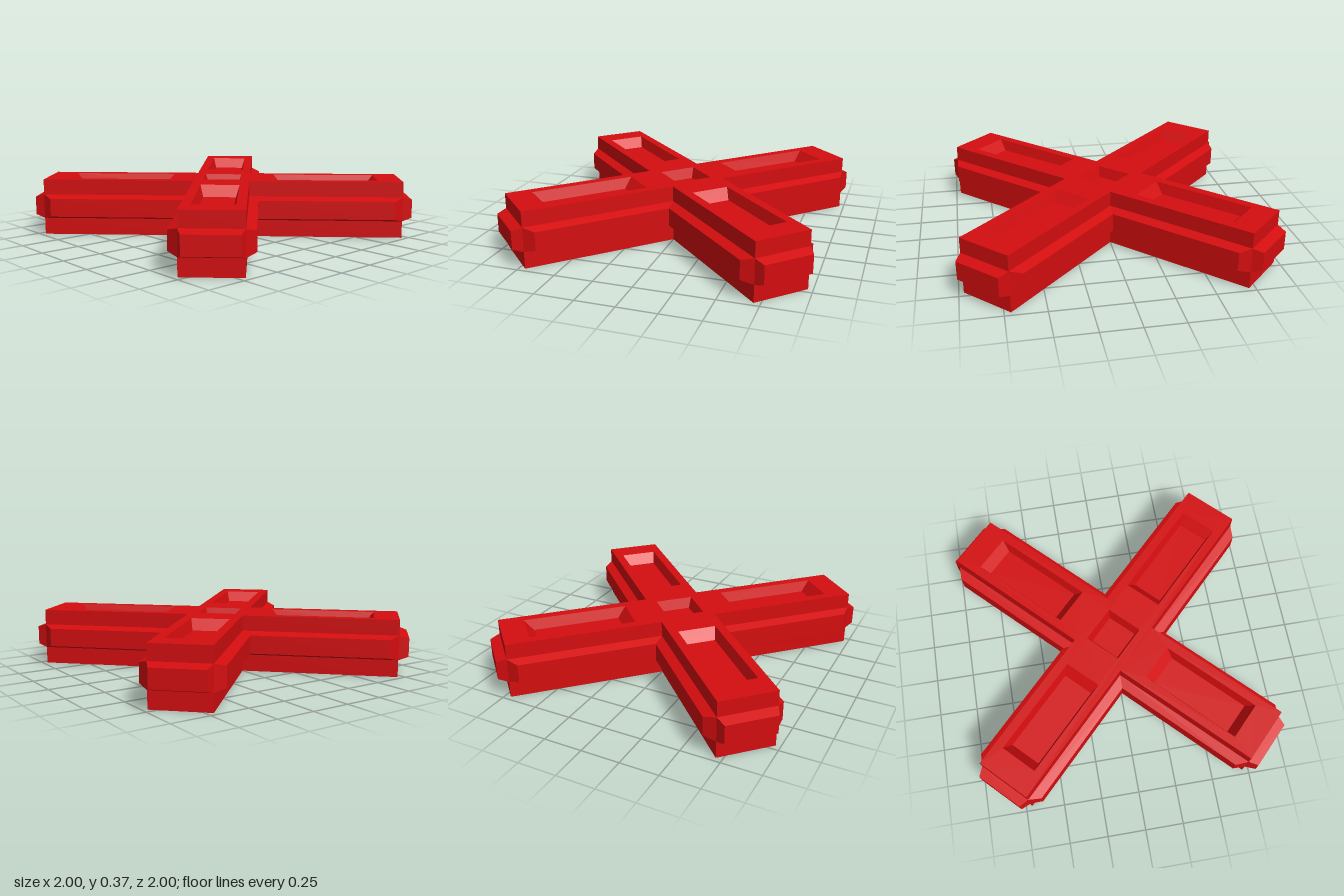
import * as THREE from 'three';
import { mergeGeometries } from 'three/addons/utils/BufferGeometryUtils.js';

const HEIGHT = 0.37, LENGTH = 1.188, HALF = 0.184; // arm height, reach and half width
const BAND_LOW = 0.11, BAND_HIGH = 0.27, BEVEL = 0.02;

// Repeats the [x, z, y] points of one arm around the four arms.
function fourArms(points) {
  const ring = [];
  for (let k = 0; k < 4; k++) {
    for (const [x, z, y] of points) {
      let p = [x, z];
      for (let i = 0; i < k; i++) p = [-p[1], p[0]];
      ring.push(new THREE.Vector3(p[0], y, p[1]));
    }
  }
  return ring;
}

// Joins successive closed rings with flat quads, leaving out collapsed triangles.
function loft(rings) {
  const pos = [];
  const tri = (a, b, c) => {
    const n = b.clone().sub(a).cross(c.clone().sub(a));
    if (n.length() > 1e-8) for (const p of [a, b, c]) pos.push(p.x, p.y, p.z);
  };
  for (let r = 0; r < rings.length - 1; r++) {
    const lo = rings[r], up = rings[r + 1];
    for (let i = 0; i < lo.length; i++) {
      const j = (i + 1) % lo.length;
      tri(lo[i], up[i], up[j]);
      tri(lo[i], up[j], lo[j]);
    }
  }
  const g = new THREE.BufferGeometry();
  g.setAttribute('position', new THREE.Float32BufferAttribute(pos, 3));
  g.computeVertexNormals();
  return g;
}

// Flat horizontal face with optional holes, facing up or down.
function cap(ring, y, up = true, holes = []) {
  const s = up ? -1 : 1;
  const flat = (r) => r.map((p) => new THREE.Vector2(p.x, s * p.z));
  const shape = new THREE.Shape(flat(ring));
  shape.holes = holes.map((h) => new THREE.Path(flat(h)));
  const g = new THREE.ShapeGeometry(shape).toNonIndexed();
  g.deleteAttribute('uv');
  return g.rotateX((s * Math.PI) / 2).translate(0, y, 0);
}

const rect = (x0, x1, w, y) =>
  [[x0, -w], [x1, -w], [x1, w], [x0, w]].map(([x, z]) => new THREE.Vector3(x, y, z));

const bodyRing = (y) => fourArms([[HALF, -HALF, y], [LENGTH, -HALF, y], [LENGTH, HALF, y]]);

// Band rings: root lies on the body; the rim stands proud, with its corners notched in to the body.
function bandRoot(y) {
  const c = [LENGTH, -HALF, y], d = [LENGTH, HALF, y];
  return fourArms([[HALF, -HALF, y], c, c, c, d, d, d]);
}
function bandRim(y, cornerY) {
  return fourArms([
    [0.244, -0.244, y], [1.131, -0.244, y], [LENGTH, -HALF, cornerY], [1.252, -0.162, y],
    [1.252, 0.162, y], [LENGTH, HALF, cornerY], [1.131, 0.244, y],
  ]);
}

export function createModel() {
  const model = new THREE.Group();
  const cross = new THREE.Group();
  cross.name = 'cross';
  cross.rotation.y = Math.PI / 4;
  model.add(cross);
  const material = new THREE.MeshStandardMaterial({ color: 0xd40d0f, flatShading: true });
  const add = (name, geometry) => {
    const mesh = new THREE.Mesh(geometry, material);
    mesh.name = name;
    cross.add(mesh);
    return mesh;
  };

  const armRim = rect(0.346, 1.029, 0.125, HEIGHT);
  const centreRim = rect(-0.124, 0.124, 0.124, HEIGHT);
  const turned = (ring, k) =>
    ring.map((p) => p.clone().applyAxisAngle(new THREE.Vector3(0, 1, 0), (k * Math.PI) / 2));

  // Lower body with a flat underside
  add('lowerBody', mergeGeometries([
    loft([bodyRing(0), bodyRing(BAND_LOW)]),
    cap(bodyRing(0), 0, false),
  ]));

  // Bevelled band around the whole outline
  add('sideBand', loft([
    bandRoot(BAND_LOW),
    bandRim(BAND_LOW + BEVEL, BAND_LOW),
    bandRim(BAND_HIGH - BEVEL, BAND_HIGH),
    bandRoot(BAND_HIGH),
  ]));

  // Upper body, its top pierced by the recesses
  const holes = [centreRim, ...[0, 1, 2, 3].map((k) => turned(armRim, k))];
  add('upperBody', mergeGeometries([
    loft([bodyRing(BAND_HIGH), bodyRing(HEIGHT)]),
    cap(bodyRing(HEIGHT), HEIGHT, true, holes),
  ]));

  // Sunken panels with sloping walls
  const floorY = HEIGHT - 0.07;
  const recess = (rim, floor) => mergeGeometries([loft([rim, floor]), cap(floor, floorY)]);
  add('centreRecess', recess(centreRim, rect(-0.102, 0.102, 0.102, floorY)));
  const armRecess = recess(armRim, rect(0.403, 0.971, 0.104, floorY));
  for (let k = 0; k < 4; k++) add('armRecess', armRecess).rotation.y = (k * Math.PI) / 2;

  return model;
}
